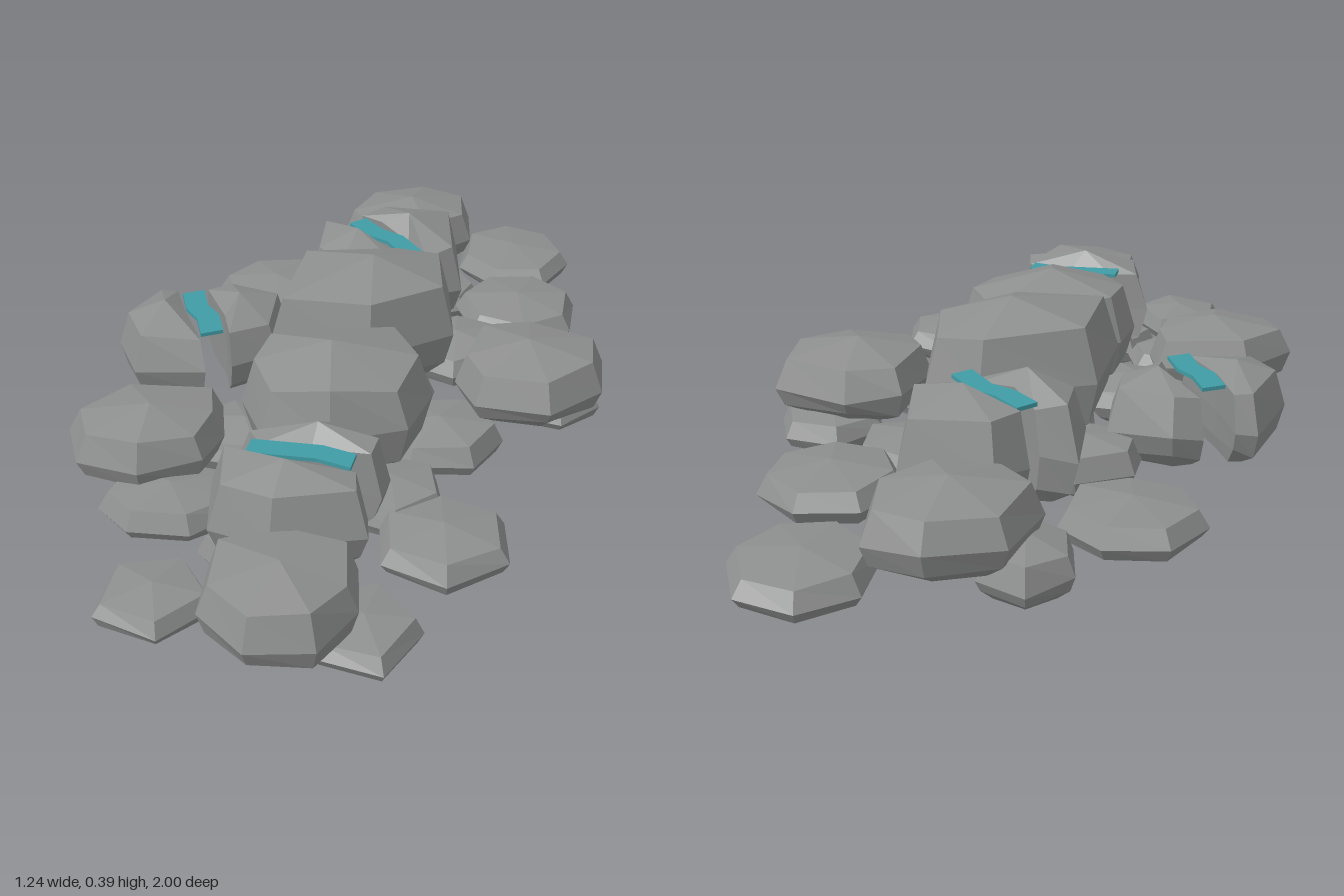
import * as THREE from 'three';

const rock = new THREE.MeshStandardMaterial({ color: 0x8d8f8e });
rock.name = 'grey rock';
const crystal = new THREE.MeshStandardMaterial({ color: 0x419ca5 });
crystal.name = 'teal crystal';

// Seeded random numbers for the uneven rims
function seeded(seed) {
  let s = seed;
  return () => {
    s = (s * 16807) % 2147483647;
    return s / 2147483647;
  };
}

// Height fraction and outline scale, from the underside to the shoulder
const PROFILE = [[0, 0.65], [0.17, 0.9], [0.42, 1], [0.82, 0.85]];

const mean = (points, k) => points.reduce((a, p) => a + p[k], 0) / points.length;

// Faceted stone: an outline seen from above, scaled about a pivot at each level
function stoneGeometry(outline, pivot, y0, y1, taper, seed) {
  const rand = seeded(seed);
  const n = outline.length;
  const h = y1 - y0;
  const rings = PROFILE.map(([f, scale], level) => outline.map(([x, z]) => {
    const s = 1 - (1 - scale) * taper;
    const wobble = level === 0 ? 0 : (rand() - 0.5) * 0.1;
    return [
      pivot[0] + (x - pivot[0]) * s,
      y0 + h * (f + wobble),
      pivot[1] + (z - pivot[1]) * s,
    ];
  }));
  const last = rings[rings.length - 1];
  const peak = [mean(last, 0), y1, mean(last, 2)];
  const base = [mean(rings[0], 0), y0, mean(rings[0], 2)];
  const pos = [];
  const tri = (a, b, c) => pos.push(...a, ...b, ...c);
  for (let i = 0; i < n; i++) {
    const j = (i + 1) % n;
    for (let r = 0; r < rings.length - 1; r++) {
      const a = rings[r], b = rings[r + 1];
      tri(a[i], b[i], b[j]);
      tri(a[i], b[j], a[j]);
    }
    tri(peak, last[j], last[i]);
    tri(base, rings[0][i], rings[0][j]);
  }
  const geo = new THREE.BufferGeometry();
  geo.setAttribute('position', new THREE.Float32BufferAttribute(pos, 3));
  geo.computeVertexNormals();
  return geo;
}

// Outline of a roughly regular stone
function ngon(cx, cz, rx, rz, sides, startDeg) {
  return Array.from({ length: sides }, (_, i) => {
    const a = THREE.MathUtils.degToRad(startDeg + (i * 360) / sides);
    return [cx + rx * Math.cos(a), cz + rz * Math.sin(a)];
  });
}

// Thin wavy crystal strip along a path, widened along one axis
function veinGeometry(path, [wx, wz]) {
  const side = (k) => path.map(([x, z]) => new THREE.Vector2(x + wx * k, z + wz * k));
  const shape = new THREE.Shape([...side(1), ...side(-1).reverse()]);
  const geo = new THREE.ExtrudeGeometry(shape, { depth: 0.009, bevelEnabled: false });
  return geo.rotateX(Math.PI / 2);
}

export function createModel() {
  const model = new THREE.Group();
  model.name = 'rockPile';
  let count = 0;

  const add = (name, geo, mat, parent = model) => {
    const mesh = new THREE.Mesh(geo, mat);
    mesh.name = name;
    parent.add(mesh);
    return mesh;
  };
  const stone = (name, outline, y0, y1, parent = model, taper = 1,
    pivot = [mean(outline, 0), mean(outline, 1)]) =>
    add(name, stoneGeometry(outline, pivot, y0, y1, taper, 101 + 37 * count++), rock, parent);

  // Upper boulders
  stone('centreBoulder',
    [[-0.12, -0.27], [0.14, -0.32], [0.26, -0.29], [0.26, -0.07], [0.06, 0.06], [-0.18, 0.02]],
    0.09, 0.39);
  stone('frontBoulder',
    [[0.2, 0.19], [0.14, 0.35], [-0.03, 0.395], [-0.18, 0.36], [-0.23, 0.21], [-0.19, 0.08],
      [-0.07, 0.03], [0.14, 0.02]], 0.08, 0.35);
  stone('rightStone',
    [[-0.62, 0.22], [-0.5, 0.1], [-0.28, 0.11], [-0.27, 0.23], [-0.31, 0.35], [-0.45, 0.4],
      [-0.59, 0.34]], 0.055, 0.215);
  stone('leftStone',
    [[0.32, -0.15], [0.45, -0.17], [0.62, -0.07], [0.6, 0.08], [0.47, 0.18], [0.3, 0.14],
      [0.26, 0.03]], 0.075, 0.245);
  stone('frontStone',
    [[-0.13, 0.65], [0.03, 0.73], [0.03, 0.88], [-0.05, 1], [-0.19, 1], [-0.285, 0.89],
      [-0.27, 0.72]], 0.045, 0.215);
  stone('backStone',
    [[0.35, -0.91], [0.345, -0.75], [0.23, -0.66], [0.07, -0.655], [0, -0.78], [0.07, -0.945],
      [0.23, -0.98]], 0.075, 0.245);

  // Low stones: x, z, x radius, z radius, sides, start angle, bottom, top
  const groups = {
    outerStone: [
      [0.47, -0.82, 0.155, 0.18, 7, -92, 0.01, 0.1],
      [-0.18, -0.605, 0.16, 0.16, 7, -115, 0.01, 0.11],
      [0.45, -0.46, 0.16, 0.17, 7, -118, 0.03, 0.13],
      [-0.385, 0.74, 0.13, 0.135, 5, -62, 0.01, 0.09],
      [0.21, 0.56, 0.155, 0.15, 6, -90, 0.01, 0.11],
      [0.04, 0.83, 0.12, 0.15, 5, 0, 0, 0.08],
    ],
    bedStone: [
      [-0.38, 0.39, 0.16, 0.13, 7, 20, 0, 0.1],
      [0.49, -0.06, 0.13, 0.13, 6, 20, 0.01, 0.1],
      [0.22, 0.13, 0.15, 0.14, 6, 0, 0, 0.11],
      [-0.23, 0.13, 0.14, 0.13, 6, 16, 0, 0.11],
      [0.28, -0.27, 0.15, 0.14, 6, -25, 0.01, 0.12],
      [0.24, -0.61, 0.12, 0.13, 7, 0, 0.01, 0.1],
      [0.04, -0.82, 0.11, 0.14, 6, 30, 0.01, 0.13],
      [-0.09, -0.32, 0.14, 0.12, 6, 40, 0.01, 0.13],
      [-0.18, 0.56, 0.13, 0.11, 6, 0, 0, 0.09],
      [0.1, 0.39, 0.13, 0.13, 6, 25, 0.01, 0.12],
      [0.04, -0.08, 0.18, 0.17, 7, 0, 0, 0.13],
    ],
  };
  for (const [kind, list] of Object.entries(groups)) {
    list.forEach(([x, z, rx, rz, sides, start, y0, y1], i) =>
      stone(`${kind}${i + 1}`, ngon(x, z, rx, rz, sides, start), y0, y1));
  }

  // Split stones: two halves, each with its pivot on the cut, around a crystal vein
  const splits = [
    {
      name: 'backSplitStone', y: [0.06, 0.325],
      halves: [
        [[0.07, -0.45], [[-0.07, -0.58], [0.01, -0.565], [0.06, -0.46], [0.15, -0.37],
          [0.15, -0.31], [-0.02, -0.31], [-0.09, -0.42]]],
        [[0.14, -0.5], [[0.03, -0.61], [0.1, -0.68], [0.3, -0.65], [0.3, -0.4],
          [0.22, -0.35], [0.17, -0.47], [0.09, -0.56]]],
      ],
      vein: [[0.035, -0.56], [0.08, -0.49], [0.13, -0.45], [0.175, -0.36]],
      width: [0.021, -0.016], veinTop: 0.288,
    },
    {
      name: 'rightSplitStone', y: [0.04, 0.25],
      halves: [
        [[-0.4, -0.18], [[-0.47, -0.33], [-0.42, -0.33], [-0.39, -0.2], [-0.33, -0.02],
          [-0.5, -0.04], [-0.55, -0.17]]],
        [[-0.3, -0.2], [[-0.35, -0.34], [-0.28, -0.36], [-0.14, -0.29], [-0.16, -0.13],
          [-0.27, -0.06], [-0.29, -0.18]]],
      ],
      vein: [[-0.375, -0.28], [-0.36, -0.2], [-0.33, -0.15], [-0.315, -0.07]],
      width: [0.026, -0.01], veinTop: 0.222,
    },
    {
      name: 'frontSplitStone', y: [0.05, 0.285],
      halves: [
        [[-0.06, 0.47], [[-0.23, 0.38], [0, 0.34], [0.1, 0.45], [0.08, 0.52],
          [-0.07, 0.475], [-0.2, 0.46]]],
        [[-0.1, 0.55], [[-0.28, 0.47], [-0.2, 0.515], [-0.07, 0.555], [0.05, 0.59],
          [0.05, 0.68], [-0.15, 0.715], [-0.28, 0.64]]],
      ],
      vein: [[-0.2, 0.49], [-0.11, 0.505], [-0.05, 0.515], [0.02, 0.55]],
      width: [0.006, -0.026], veinTop: 0.255,
    },
  ];
  for (const s of splits) {
    const group = new THREE.Group();
    group.name = s.name;
    model.add(group);
    s.halves.forEach(([pivot, outline], i) =>
      stone(`stoneHalf${i + 1}`, outline, s.y[0], s.y[1], group, 1.1, pivot));
    add('crystalVein', veinGeometry(s.vein, s.width), crystal, group).position.y = s.veinTop;
  }
  return model;
}
